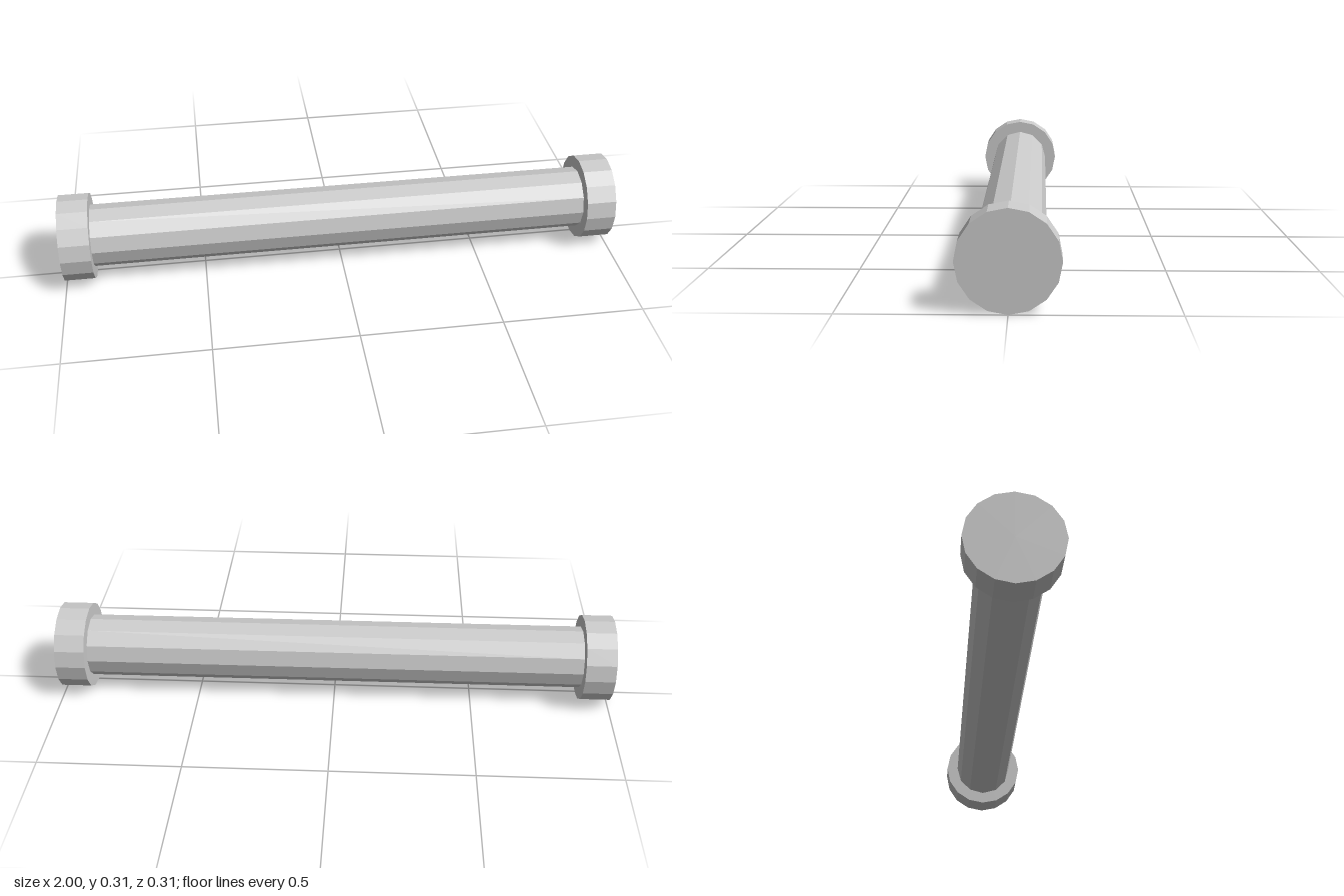
import * as THREE from 'three';

const CAP_RADIUS = 0.155;
const CAP_LENGTH = 0.107;
const SHAFT_RADIUS = 0.111;

export function createModel() {
  const group = new THREE.Group();
  const material = new THREE.MeshStandardMaterial({ color: 0xcccccc, flatShading: true });

  // Cylinder lying along x, resting at the height of the caps' axis
  function addBar(name, radius, length, sides, x) {
    const geometry = new THREE.CylinderGeometry(radius, radius, length, sides);
    geometry.rotateZ(Math.PI / 2);
    const mesh = new THREE.Mesh(geometry, material);
    mesh.name = name;
    mesh.position.set(x, CAP_RADIUS, 0);
    group.add(mesh);
  }

  // Long shaft between the caps
  addBar('shaft', SHAFT_RADIUS, 2 - 2 * CAP_LENGTH, 12, 0);

  // Wider cap at each end
  for (const side of [1, -1]) {
    addBar(side > 0 ? 'leftCap' : 'rightCap', CAP_RADIUS, CAP_LENGTH, 16, side * (1 - CAP_LENGTH / 2));
  }

  return group;
}
